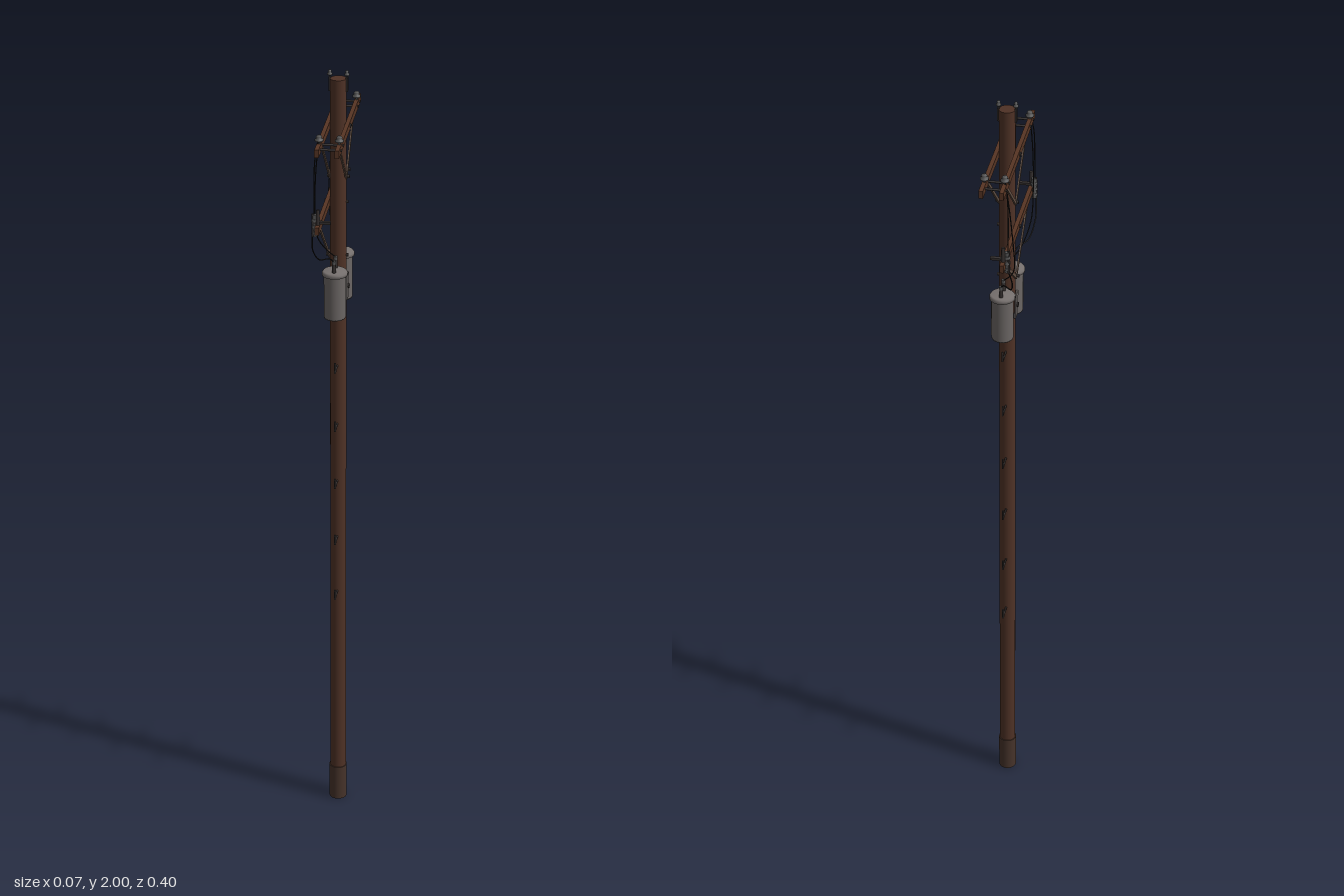
import * as THREE from 'three';

const mat = (name, color) => {
  const m = new THREE.MeshStandardMaterial({ color });
  m.name = name;
  return m;
};
const V = (x, y, z) => new THREE.Vector3(x, y, z);

export function createModel() {
  const M = {
    pole: mat('pole wood', 0x4f3226),
    base: mat('base sleeve', 0x46332a),
    arm: mat('arm wood', 0x573524),
    brace: mat('brace', 0x5e4c40),
    tank: mat('tank grey', 0x6b6664),
    lid: mat('lid grey', 0x77716f),
    metal: mat('dark metal', 0x35302f),
    insulator: mat('insulator', 0x565656),
    wire: mat('wire', 0x1b1a1a),
  };
  const root = new THREE.Group();
  root.name = 'utilityPole';
  const CX = 0.003;              // pole axis
  const ARM_X = [-0.021, 0.026]; // arms on either side of the pole

  const add = (name, geo, material, x = 0, y = 0, z = 0, parent = root) => {
    const mesh = new THREE.Mesh(geo, material);
    mesh.name = name;
    mesh.position.set(x, y, z);
    parent.add(mesh);
    return mesh;
  };
  const box = (name, w, h, d, m, x, y, z) => add(name, new THREE.BoxGeometry(w, h, d), m, x, y, z);
  const cyl = (name, rt, rb, y0, y1, m, x, z, n = 16) =>
    add(name, new THREE.CylinderGeometry(rt, rb, y1 - y0, n), m, x, (y0 + y1) / 2, z);
  // Round or flat bar between two points
  const rod = (name, a, b, r, m, n = 8) => {
    const mesh = add(name, new THREE.CylinderGeometry(r, r, a.distanceTo(b), n), m);
    mesh.position.copy(a).add(b).multiplyScalar(0.5);
    mesh.quaternion.setFromUnitVectors(V(0, 1, 0), b.clone().sub(a).normalize());
    return mesh;
  };
  const strap = (name, a, b, w, t, m) => {
    const mesh = add(name, new THREE.BoxGeometry(t, a.distanceTo(b), w), m);
    mesh.position.copy(a).add(b).multiplyScalar(0.5);
    mesh.rotation.x = Math.atan2(b.z - a.z, b.y - a.y);
    return mesh;
  };
  const cable = (name, pts, r = 0.0016) =>
    add(name, new THREE.TubeGeometry(new THREE.CatmullRomCurve3(pts.map(p => V(...p))), 32, r, 6), M.wire);
  const lathe = (pts, n = 14) => new THREE.LatheGeometry(pts.map(p => new THREE.Vector2(...p)), n);

  // Pole and base sleeve
  cyl('pole', 0.0195, 0.0205, 0, 1.98, M.pole, CX, 0, 20);
  cyl('baseSleeve', 0.0225, 0.0225, 0, 0.097, M.base, CX, 0, 20);

  // Pin insulator profile
  const pinGeo = lathe([[0, 0], [0.003, 0], [0.003, 0.007], [0.010, 0.009], [0.010, 0.013],
    [0.006, 0.015], [0.007, 0.019], [0.005, 0.022], [0, 0.023]]);

  // Pole-top pins on side brackets
  for (const x of [-0.017, 0.023]) {
    box('topPinBracket', 0.005, 0.034, 0.009, M.metal, x, 1.966, 0);
    const top = add('topPin', pinGeo, M.insulator, x, 1.98, 0);
    top.scale.set(0.6, 0.87, 0.6);
  }

  // Upper pair of crossarms with braces and pins
  for (const x of ARM_X) {
    const out = Math.sign(x);
    box('upperCrossarm', 0.010, 0.019, 0.396, M.arm, x, 1.866, 0);
    rod('armBolt', V(x, 1.866, 0), V(x + out * 0.008, 1.866, 0), 0.005, M.metal, 6);
    for (const s of [-1, 1]) {
      strap('upperBrace', V(x - out * 0.004, 1.735, 0), V(x - out * 0.004, 1.862, s * 0.135), 0.008, 0.004, M.brace);
      add('pinInsulator', pinGeo, M.insulator, x, 1.873, s * 0.155);
    }
  }
  rod('upperBraceBolt', V(-0.024, 1.74, 0), V(0.030, 1.74, 0), 0.004, M.metal, 6);
  for (const s of [-1, 1]) for (const z of [0.135, 0.169]) {
    rod('spacerBolt', V(-0.029, 1.866, s * z), V(0.034, 1.866, s * z), 0.003, M.metal, 8);
  }

  // Lower single crossarm with braces
  box('lowerCrossarm', 0.010, 0.019, 0.396, M.arm, ARM_X[0], 1.676, 0);
  rod('lowerArmBolt', V(-0.030, 1.676, 0), V(0.027, 1.676, 0), 0.004, M.metal, 6);
  rod('lowerBraceBolt', V(-0.026, 1.54, 0), V(0.027, 1.54, 0), 0.004, M.metal, 6);

  for (const s of [-1, 1]) {
    strap('lowerBrace', V(-0.018, 1.535, 0), V(-0.018, 1.672, s * 0.165), 0.008, 0.004, M.brace);

    // Fuse cutout at the arm end
    box('cutoutBracket', 0.042, 0.006, 0.009, M.metal, -0.012, 1.690, s * 0.175);
    cyl('cutoutBody', 0.006, 0.006, 1.655, 1.708, M.insulator, -0.029, s * 0.172, 10);
    for (const y of [1.665, 1.68, 1.695]) {
      cyl('cutoutShed', 0.0075, 0.0085, y - 0.003, y + 0.003, M.insulator, -0.029, s * 0.172, 10);
    }
    cyl('cutoutPost', 0.004, 0.005, 1.685, 1.722, M.metal, -0.021, s * 0.178, 8);
    rod('fuseTube', V(-0.034, 1.655, s * 0.178), V(-0.034, 1.710, s * 0.172), 0.0025, M.metal);

    // Transformer can
    const z = s * 0.063;
    add('transformerTank', lathe([[0, 1.404], [0.0255, 1.404], [0.0265, 1.408], [0.0265, 1.516]], 24), M.tank, CX, 0, z);
    add('transformerLid', lathe([[0.0265, 1.514], [0.0305, 1.514], [0.0305, 1.521], [0.027, 1.525], [0, 1.527]], 24), M.lid, CX, 0, z);
    for (const bz of [0.048, 0.078]) {
      cyl('bushing', 0.004, 0.005, 1.525, 1.552, M.metal, CX, s * bz, 10);
      cyl('bushingCap', 0.005, 0.005, 1.547, 1.555, M.insulator, CX, s * bz, 10);
    }
    // Hanger between pole and tank
    for (const y of [1.435, 1.485]) box('tankHanger', 0.016, 0.012, 0.02, M.metal, CX, y, s * 0.029);
    box('hangerPlate', 0.022, 0.07, 0.004, M.metal, CX, 1.46, s * 0.0225);

    // Drop wires: line pin to cutout, cutout to bushing, pin to second bushing
    cable('lineDrop', [[-0.021, 1.888, s * 0.155], [-0.029, 1.84, s * 0.166], [-0.031, 1.77, s * 0.168], [-0.031, 1.708, s * 0.172]], 0.0014);
    cable('fuseLead', [[-0.034, 1.656, s * 0.177], [-0.037, 1.61, s * 0.15], [-0.026, 1.572, s * 0.115], [-0.006, 1.565, s * 0.09], [CX, 1.553, s * 0.078]]);
    cable('lineLead', [[-0.021, 1.888, s * 0.155], [-0.030, 1.80, s * 0.146], [-0.035, 1.70, s * 0.128], [-0.034, 1.63, s * 0.105],
      [-0.017, 1.578, s * 0.065], [CX, 1.553, s * 0.048]], 0.0014);
  }

  // Transformer mounting bands and side bolts
  for (const y of [1.435, 1.485]) cyl('mountBand', 0.0222, 0.0222, y - 0.006, y + 0.006, M.metal, CX, 0, 20);
  for (const s of [-1, 1]) {
    box('bandPlate', 0.004, 0.062, 0.03, M.tank, CX + s * 0.0215, 1.46, 0);
    rod('bandBolt', V(CX + s * 0.02, 1.46, 0), V(CX + s * 0.027, 1.46, 0), 0.006, M.metal, 6);
  }

  // Climbing steps, alternating sides
  for (let i = 0; i < 11; i++) {
    const s = i % 2 ? 1 : -1;
    const y = 1.335 - i * 0.0785;
    const tip = s * 0.061;
    rod('climbingStep', V(CX, y, s * 0.017), V(CX, y, tip), 0.0024, M.metal, 6);
    rod('climbingStepTip', V(CX, y - 0.002, tip), V(CX, y + 0.025, tip), 0.0024, M.metal, 6);
  }
  return root;
}
